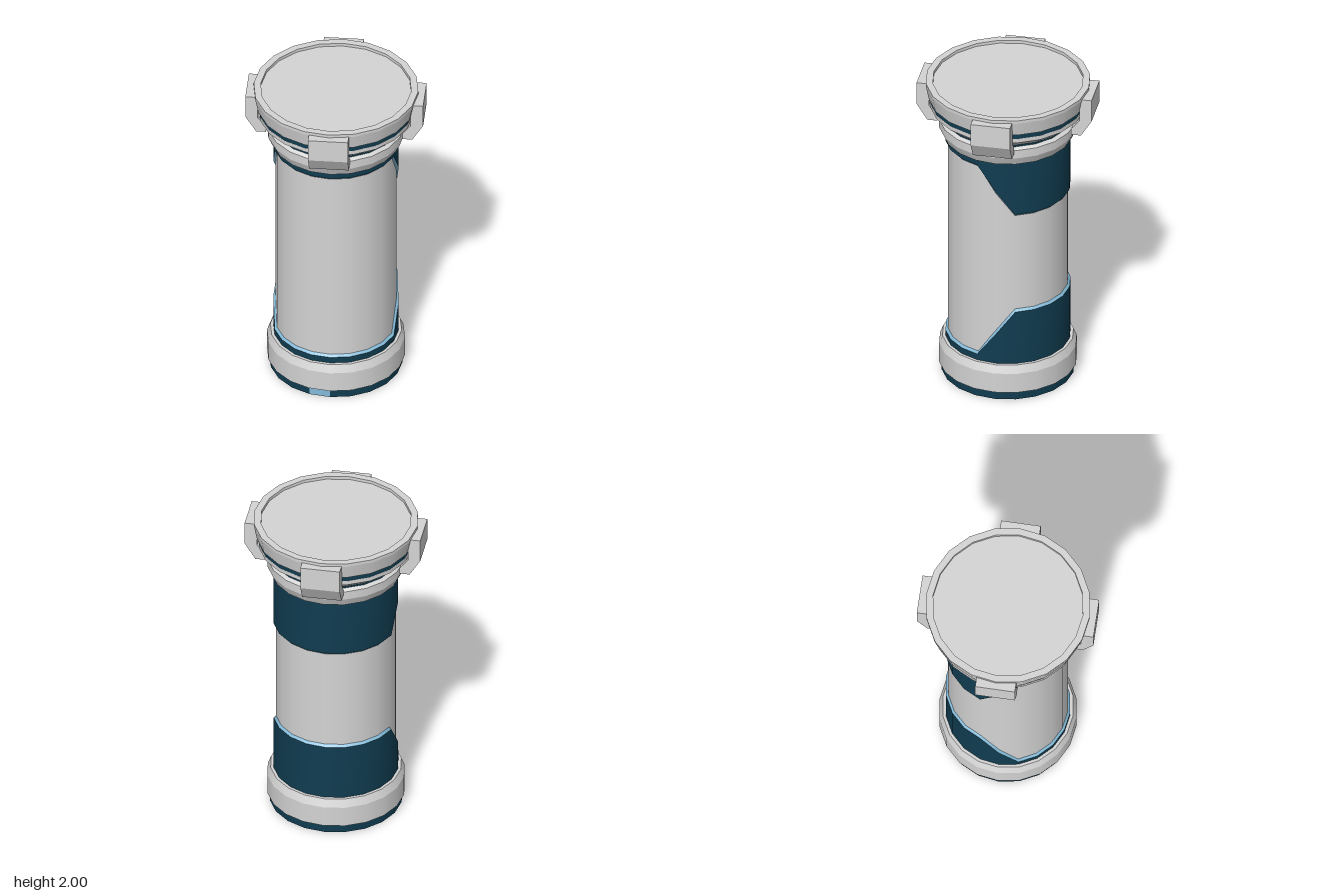
import * as THREE from 'three';
import { mergeGeometries } from 'three/addons/utils/BufferGeometryUtils.js';

const SIDES = 20;
const STEP = (Math.PI * 2) / SIDES;

// Turned part: smooth around the axis, sharp between profile segments
function turned(profile, start = 0, sides = SIDES) {
  const rings = [];
  for (let i = 0; i < profile.length - 1; i++) {
    const pts = [profile[i], profile[i + 1]].map(([r, y]) => new THREE.Vector2(r, y));
    rings.push(new THREE.LatheGeometry(pts, sides, start * STEP, sides * STEP));
  }
  return mergeGeometries(rings);
}

// Closed strip between two rings, each given as k => [radius, height]
function strip(lower, upper) {
  const pos = [], index = [];
  for (let k = 0; k < SIDES; k++) {
    for (const [r, y] of [lower(k), upper(k)]) {
      pos.push(r * Math.sin(k * STEP), y, r * Math.cos(k * STEP));
    }
    const a = 2 * k, b = 2 * ((k + 1) % SIDES);
    index.push(a, b, b + 1, a, b + 1, a + 1);
  }
  const g = new THREE.BufferGeometry();
  g.setAttribute('position', new THREE.Float32BufferAttribute(pos, 3));
  g.setIndex(index);
  g.computeVertexNormals();
  return g;
}

export function createModel() {
  const paint = (name, color) => {
    const m = new THREE.MeshStandardMaterial({ color });
    m.name = name;
    return m;
  };
  const grey = paint('paleGrey', 0xd4d4d4);
  const navy = paint('deepTeal', 0x103c50);
  const blue = paint('lightBlue', 0x83bad8);

  const model = new THREE.Group();
  model.name = 'canister';
  const add = (name, geometry, material) => {
    const mesh = new THREE.Mesh(geometry, material);
    mesh.name = name;
    model.add(mesh);
    return mesh;
  };

  // Base: dark foot ring with one light facet, hollow underside
  const foot = [[0.385, 0], [0.4, 0], [0.4, 0.055]];
  add('footRing', turned(foot, 0, SIDES - 1), navy);
  add('footMarker', turned(foot, -1, 1), blue);
  add('underside', turned([[0, 0.19], [0.345, 0.19]]), grey);
  const lining = turned([[0.345, 0.19], [0.345, 0.08]]).toNonIndexed();
  lining.computeVertexNormals();
  add('innerLining', lining, blue);
  add('innerLip', turned([[0.345, 0.08], [0.385, 0]]), grey);

  // Body and its two collars
  add('body', turned([[0.363, 0.2], [0.363, 1.67]]), grey);
  add('lowerCollar', turned([[0.39, 0.055], [0.415, 0.055], [0.415, 0.185], [0.395, 0.235], [0.35, 0.235]]), grey);
  add('upperCollar', turned([[0.35, 1.635], [0.39, 1.635], [0.415, 1.69], [0.415, 1.745], [0.395, 1.757], [0.37, 1.757]]), grey);

  // Wrap bands: narrow at the front, deep at the back, with a light bevelled edge
  const R = 0.377;
  const depth = (k) => {
    const fromFront = Math.min(k, SIDES - k);
    return fromFront < 5 ? 0.04 : fromFront === 5 ? 0.2 : 0.36;
  };
  const trim = (k) => (k % 10 === 5 ? 0.025 : 0.015);
  for (const [name, rim, dir] of [['lowerBand', 0.235, 1], ['upperBand', 1.635, -1]]) {
    const start = () => [R, rim];
    const edge = (k) => [R, rim + dir * depth(k)];
    const end = (k) => [0.362, rim + dir * (depth(k) + trim(k))];
    add(name, dir > 0 ? strip(start, edge) : strip(edge, start), navy);
    add(name + 'Trim', dir > 0 ? strip(edge, end) : strip(end, edge), blue);
  }

  // Cap: dark neck, flared cone, dark groove, rim and sunken lid
  add('neckRing', turned([[0.39, 1.75], [0.39, 1.778]]), navy);
  add('capCone', turned([[0.37, 1.775], [0.4, 1.775], [0.467, 1.83], [0.467, 1.857], [0.44, 1.857]]), grey);
  add('capGroove', turned([[0.466, 1.855], [0.466, 1.893]]), navy);
  add('capRim', turned([[0.44, 1.89], [0.477, 1.89], [0.495, 1.98], [0.495, 2], [0.453, 2], [0.453, 1.98], [0, 1.98]]), grey);

  // Four hooked clamps around the cap
  const hook = new THREE.Shape(
    [[0.41, 1.73], [0.47, 1.73], [0.535, 1.835], [0.535, 1.98], [0.46, 1.98], [0.46, 1.83], [0.41, 1.77]]
      .map(([x, y]) => new THREE.Vector2(x, y)));
  const clamp = new THREE.ExtrudeGeometry(hook, { depth: 0.24, bevelEnabled: false });
  clamp.translate(0, 0, -0.12);
  for (let i = 0; i < 4; i++) {
    add('clamp' + (i + 1), clamp, grey).rotation.y = (i * Math.PI) / 2;
  }
  return model;
}
